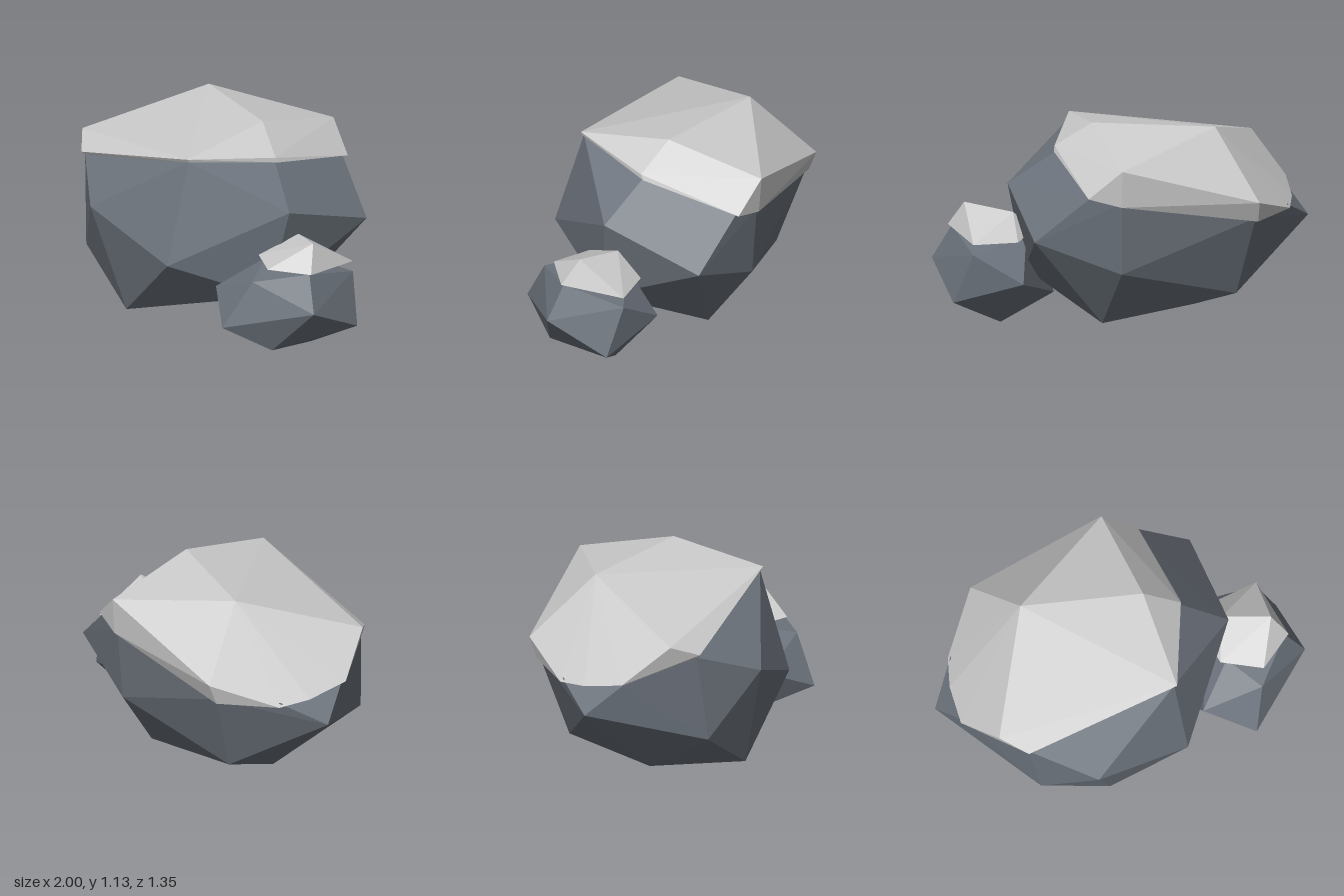
import * as THREE from 'three';
import { ConvexGeometry } from 'three/addons/geometries/ConvexGeometry.js';

// A faceted boulder or snow cap: the hull around a few corner points.
function facetedMesh(name, corners, material) {
  const geometry = new ConvexGeometry(corners.map((c) => new THREE.Vector3(...c)));
  const mesh = new THREE.Mesh(geometry, material);
  mesh.name = name;
  return mesh;
}

export function createModel() {
  const stone = new THREE.MeshStandardMaterial({ color: 0x6b727b, flatShading: true });
  const snow = new THREE.MeshStandardMaterial({ color: 0xcccccc, flatShading: true });

  // Large boulder: base, waist, then the shoulder tucked under the snow
  const largeRock = [
    [-0.4, 0.015, -0.02], [0.26, 0.055, -0.29], [-0.3, 0.06, 0.5], [-0.47, 0.19, -0.46],
    [0.5, 0.256, 0.24], [-0.68, 0.32, 0.39], [0.25, 0.4, -0.54], [0.11, 0.46, 0.64],
    [-1, 0.52, -0.23], [0.7, 0.59, -0.37], [-0.45, 0.67, 0.63], [0.62, 0.77, 0.2],
    [-0.52, 0.66, -0.62], [-0.8, 0.65, -0.41], [-0.92, 0.69, -0.03], [-0.73, 0.82, 0.34],
    [0.12, 1.03, 0.47], [0.38, 0.98, 0.04], [0.42, 0.85, -0.5], [0.26, 0.82, -0.57],
  ];

  // Large snow cap: crown, then rim
  const largeSnow = [
    [-0.4, 1.12, -0.33], [0.22, 1.14, -0.05], [0.13, 1.05, 0.485], [-0.85, 0.91, 0.22],
    [0.27, 1.01, -0.6], [-0.52, 0.76, -0.675],
    [0.13, 1.03, 0.475], [0.4, 1.0, 0.055], [0.41, 0.97, 0.04], [0.44, 0.85, -0.52],
    [0.27, 0.8, -0.585], [-0.53, 0.64, -0.63], [-0.81, 0.63, -0.42], [-0.89, 0.65, -0.26],
    [-0.95, 0.7, -0.03], [-0.74, 0.84, 0.36], [-0.73, 0.825, 0.35],
  ];

  // Small boulder
  const smallRock = [
    [0.7, 0.005, 0.11], [0.73, 0.07, 0.48], [0.3, 0.08, 0.3], [1, 0.16, 0.07],
    [0.53, 0.21, 0.67], [0.66, 0.275, -0.12], [0.98, 0.325, 0.42], [0.31, 0.34, 0.46],
    [0.64, 0.47, 0.54], [0.91, 0.44, 0], [0.89, 0.52, 0.35], [0.54, 0.52, 0.32],
    [0.55, 0.5, 0.1],
  ];

  // Small snow cap
  const smallSnow = [
    [0.85, 0.67, 0.27], [0.62, 0.625, 0.12], [0.5, 0.53, 0.32], [0.69, 0.535, 0.47],
    [0.91, 0.525, 0.36], [0.91, 0.5, 0], [0.65, 0.49, -0.02], [0.5, 0.51, 0.12],
  ];

  const group = new THREE.Group();
  group.name = 'snowyRocks';
  group.add(
    facetedMesh('largeRock', largeRock, stone),
    facetedMesh('largeSnowCap', largeSnow, snow),
    facetedMesh('smallRock', smallRock, stone),
    facetedMesh('smallSnowCap', smallSnow, snow),
  );
  return group;
}
